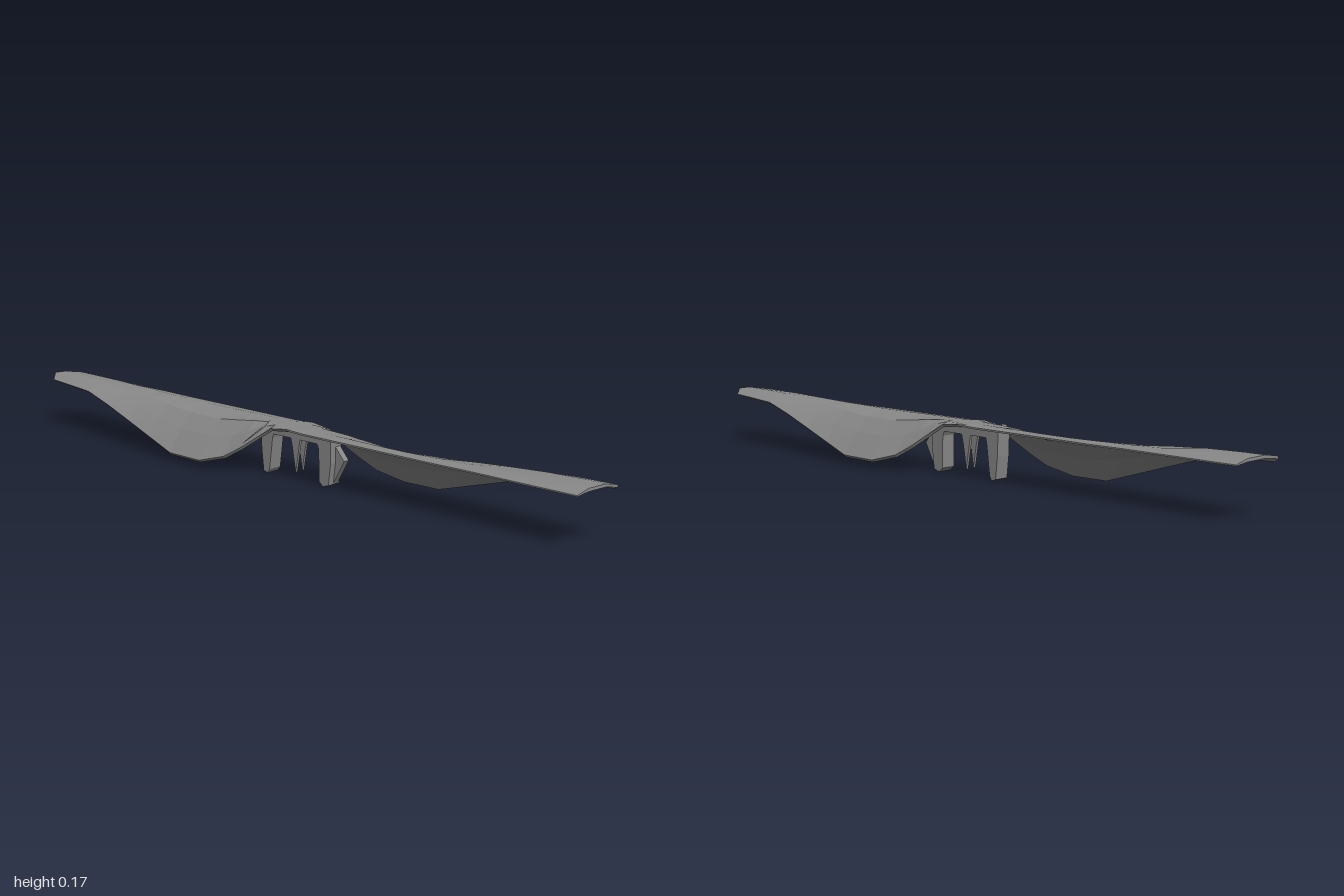
import * as THREE from 'three';

const material = new THREE.MeshStandardMaterial({ color: 0x888888, flatShading: true, side: THREE.DoubleSide });

// Stations: z, drooping edge x, then five upper-surface heights from straight edge to drooping edge
const stations = [
  [0.00, 0.055, 0.151, 0.151, 0.151, 0.151, 0.151],
  [0.06, 0.055, 0.148, 0.152, 0.152, 0.150, 0.143],
  [0.10, 0.066, 0.148, 0.152, 0.150, 0.140, 0.115],
  [0.15, 0.086, 0.148, 0.152, 0.146, 0.119, 0.078],
  [0.20, 0.103, 0.148, 0.152, 0.140, 0.101, 0.047],
  [0.28, 0.123, 0.148, 0.151, 0.132, 0.089, 0.025],
  [0.40, 0.123, 0.148, 0.151, 0.132, 0.090, 0.026],
  [0.50, 0.113, 0.148, 0.153, 0.140, 0.106, 0.056],
  [0.60, 0.103, 0.149, 0.155, 0.149, 0.125, 0.086],
  [0.70, 0.094, 0.149, 0.158, 0.157, 0.142, 0.116],
  [0.80, 0.084, 0.149, 0.161, 0.164, 0.157, 0.141],
  [0.90, 0.080, 0.149, 0.162, 0.167, 0.162, 0.147],
  [1.00, 0.075, 0.149, 0.162, 0.168, 0.165, 0.150],
];
const tipZ = [0.95, 0.96, 0.98, 1.0, 0.975];
const thickness = [0.005, 0.013, 0.013, 0.011, 0.008];

// Loft a thin closed shell through the stations, with a cap at the tip
function bladeGeometry() {
  const positions = [], index = [], last = stations.length - 1;
  stations.forEach(([z, edge, ...heights], i) => {
    const xs = [-0.055, -0.022, edge * 0.3, edge * 0.62, edge];
    const thin = 1 - 0.35 * z;
    const point = (j, drop, inset) => positions.push(xs[j] - inset, heights[j] - drop, i === last ? tipZ[j] : z);
    for (let j = 0; j < 5; j++) point(j, 0, 0);
    for (let j = 4; j >= 0; j--) point(j, thickness[j] * thin, j === 4 ? 0.006 : 0);
  });
  for (let i = 0; i < last; i++) {
    for (let j = 0; j < 10; j++) {
      const k = (j + 1) % 10;
      const a = i * 10 + j, b = i * 10 + k, c = b + 10, d = a + 10;
      index.push(a, d, c, a, c, b);
    }
  }
  for (let j = 0; j < 4; j++) {
    const a = last * 10 + j, b = last * 10 + 9 - j;
    index.push(a, b, b - 1, a, b - 1, a + 1);
  }
  const geometry = new THREE.BufferGeometry();
  geometry.setAttribute('position', new THREE.Float32BufferAttribute(positions, 3));
  geometry.setIndex(index);
  geometry.computeVertexNormals();
  return geometry;
}

// Side profile given as (z, y) pairs, extruded across x and centred
function sideExtrusion(profile, width) {
  const shape = new THREE.Shape(profile.map(([z, y]) => new THREE.Vector2(-z, y)));
  const geometry = new THREE.ExtrudeGeometry(shape, { depth: width, bevelEnabled: false });
  geometry.translate(0, 0, -width / 2);
  geometry.rotateY(Math.PI / 2);
  return geometry;
}

function add(group, name, geometry, x = 0) {
  const mesh = new THREE.Mesh(geometry, material);
  mesh.name = name;
  mesh.position.x = x;
  group.add(mesh);
}

export function createModel() {
  const model = new THREE.Group();
  model.name = 'propeller';
  const blade = bladeGeometry();
  const spike = sideExtrusion([[-0.022, 0.14], [-0.002, 0.02], [0.010, 0.09], [0.022, 0.14]], 0.008);
  const legs = {
    front: [[0.092, 0.012], [0.105, 0], [0.126, 0.006], [0.134, 0.07], [0.134, 0.137], [0.075, 0.137], [0.090, 0.105]],
    back: [[0.096, 0.012], [0.104, 0], [0.119, 0.005], [0.126, 0.07], [0.128, 0.137], [0.075, 0.137], [0.084, 0.105]],
  };

  // Two halves, turned half a circle about the shaft
  for (const [side, angle] of [['front', 0], ['back', Math.PI]]) {
    const half = new THREE.Group();
    half.name = side + 'Half';
    half.rotation.y = angle;
    add(half, side + 'Blade', blade);
    add(half, side + 'ClipLeg', sideExtrusion(legs[side], 0.045));
    add(half, side + 'HubSpike', spike, 0.016);
    model.add(half);
  }

  // Gusset flaring outward from the front clip leg
  add(model, 'legGusset', sideExtrusion([[0.126, 0.008], [0.165, 0.078], [0.125, 0.125]], 0.02), 0.008);

  // Raised triangular flap at the root of the back blade
  const flap = new THREE.BufferGeometry().setFromPoints([
    new THREE.Vector3(-0.016, 0.155, -0.097),
    new THREE.Vector3(-0.06, 0.146, -0.077),
    new THREE.Vector3(-0.088, 0.092, -0.14),
  ]);
  flap.setIndex([0, 2, 1]);
  flap.computeVertexNormals();
  add(model, 'rootFlap', flap);

  // Low block under the hub joining the clip legs
  const block = new THREE.BoxGeometry(0.045, 0.022, 0.2);
  block.translate(0, 0.129, 0);
  add(model, 'hubBlock', block);
  return model;
}
